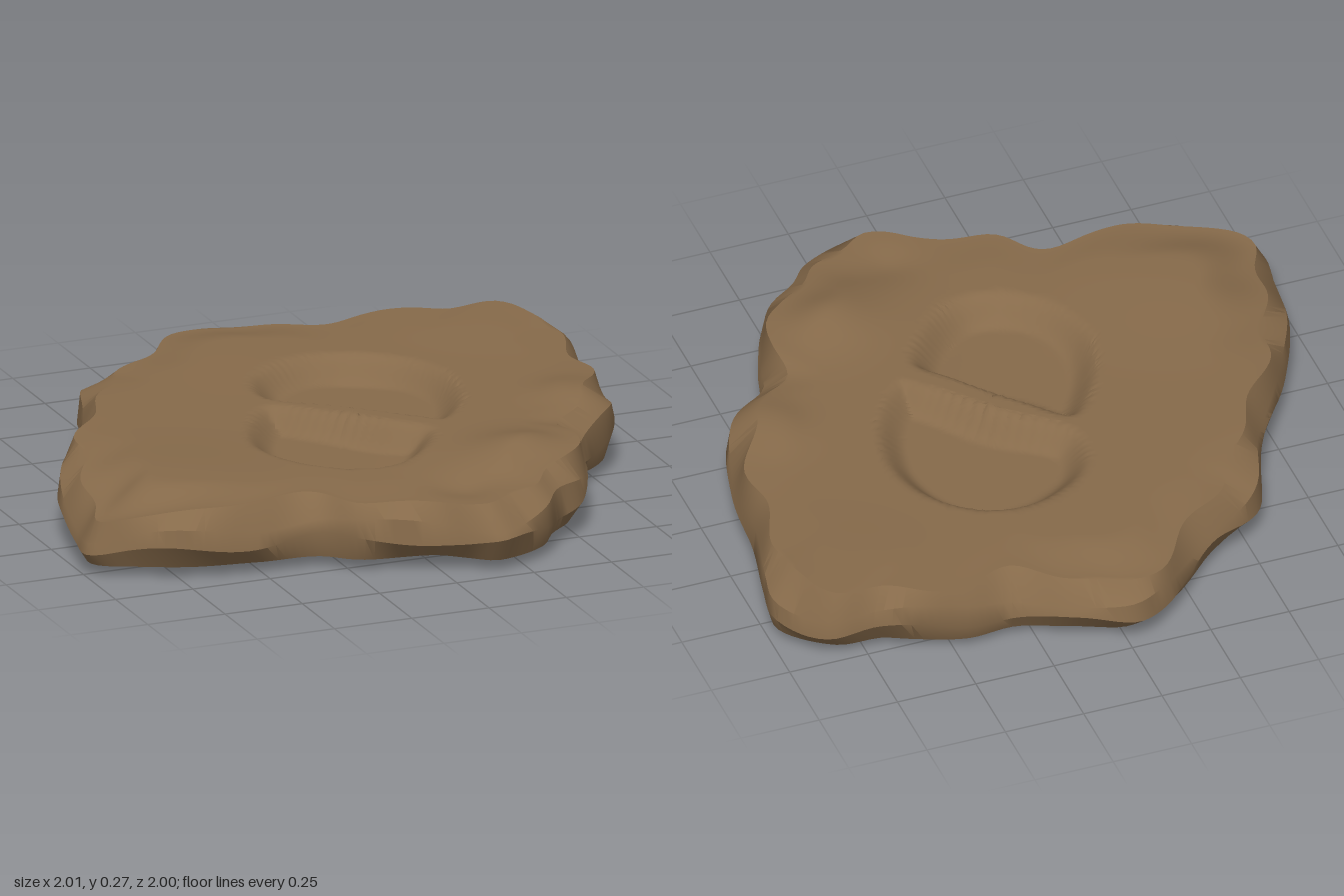
import * as THREE from 'three';
import { toCreasedNormals } from 'three/addons/utils/BufferGeometryUtils.js';

// Slab outline, clockwise from the back: x, z, height of the upper rim
const OUTLINE = [
  [-0.01, -1, 0.18], [0.15, -0.94, 0.19], [0.32, -0.85, 0.21], [0.47, -0.85, 0.21], [0.65, -0.81, 0.22],
  [0.74, -0.78, 0.22], [0.88, -0.76, 0.23], [1, -0.61, 0.22], [0.99, -0.5, 0.21], [0.93, -0.24, 0.21],
  [0.91, -0.02, 0.22], [0.84, 0.2, 0.24], [0.67, 0.38, 0.21], [0.63, 0.5, 0.23], [0.52, 0.73, 0.22],
  [0.41, 0.81, 0.21], [0.34, 0.9, 0.2], [0.22, 0.98, 0.2], [0.15, 1, 0.2], [0.07, 0.95, 0.2],
  [0, 0.9, 0.2], [-0.23, 0.82, 0.2], [-0.34, 0.73, 0.21], [-0.55, 0.73, 0.21], [-0.75, 0.7, 0.2],
  [-0.9, 0.61, 0.17], [-1, 0.53, 0.14], [-0.99, 0.42, 0.15], [-0.94, 0.16, 0.19], [-0.85, -0.04, 0.21],
  [-0.65, -0.37, 0.22], [-0.56, -0.6, 0.21], [-0.5, -0.66, 0.2], [-0.36, -0.74, 0.2], [-0.12, -0.95, 0.18],
];

// The two hollows, as closed curves in x and z
const HOLLOWS = [
  [[-0.13, -0.22], [-0.09, -0.4], [0.08, -0.51], [0.26, -0.5], [0.42, -0.37], [0.48, -0.18], [0.42, 0.06], [0.29, 0.2], [0.22, 0.14], [0.05, -0.04]],
  [[-0.14, -0.15], [-0.27, 0], [-0.33, 0.2], [-0.28, 0.38], [-0.15, 0.5], [0, 0.52], [0.14, 0.43], [0.24, 0.26], [0.15, 0.14], [0, -0.03]],
].map(points => new THREE.CatmullRomCurve3(points.map(([x, z]) => new THREE.Vector3(x, 0, z)), true).getPoints(70));

const smooth = THREE.MathUtils.smoothstep;
const lerp = THREE.MathUtils.lerp;
const bump = (x, z, cx, cz, size, height) => height * Math.exp(-((x - cx) ** 2 + (z - cz) ** 2) / size ** 2);

// Distance from a point to the edge of a hollow, zero outside it
function depthInside(loop, x, z) {
  let inside = false, nearest = Infinity;
  for (let i = 0, j = loop.length - 1; i < loop.length; j = i++) {
    const a = loop[i], b = loop[j];
    if ((a.z > z) !== (b.z > z) && x < (b.x - a.x) * (z - a.z) / (b.z - a.z) + a.x) inside = !inside;
    nearest = Math.min(nearest, Math.hypot(x - a.x, z - a.z));
  }
  return inside ? nearest : 0;
}

// Height of the weathered upper face, with the hollows pressed in
function topHeight(x, z) {
  let y = 0.222 + 0.005 * Math.sin(5 * x + 2 * z) * Math.cos(4 * z - x);
  y += bump(x, z, 0.4, 0.57, 0.16, 0.05) + bump(x, z, 0.77, 0.12, 0.12, 0.045);
  y += bump(x, z, -0.7, 0.35, 0.3, 0.018) + bump(x, z, 0.7, -0.6, 0.25, 0.015);
  y -= bump(x, z, 0.13, 0.78, 0.12, 0.025);
  for (const loop of HOLLOWS) {
    const d = depthInside(loop, x, z);
    if (d > 0) y -= smooth(d, 0, 0.1) * (0.075 + 0.006 * Math.sin(14 * x + 5 * z));
  }
  return y;
}

const bottomHeight = (x, z) => 0.035 * smooth(Math.hypot(x, z + 0.05), 0, 0.8);

function slabGeometry() {
  const SEGMENTS = 220, RINGS = 66, BOTTOM_RINGS = 10, cx = 0.08, cz = 0;
  const curve = new THREE.CatmullRomCurve3(OUTLINE.map(([x, z, y]) => new THREE.Vector3(x, y, z)), true);
  const edge = curve.getSpacedPoints(SEGMENTS).slice(0, SEGMENTS);
  const rows = [];
  const addRow = place => rows.push(edge.map((p, i) => {
    const angle = i / SEGMENTS * Math.PI * 2;
    const bevel = 0.065 + 0.022 * Math.sin(7 * angle) + 0.018 * Math.sin(17 * angle + 1);
    const radius = Math.hypot(p.x - cx, p.z - cz);
    const at = (scale, inset) => {
      const k = scale * (1 - inset / radius);
      return [cx + (p.x - cx) * k, cz + (p.z - cz) * k];
    };
    return place(p, at, bevel, angle);
  }));

  // Upper face, from the middle to the rim
  for (let r = 0; r <= RINGS; r++) addRow((p, at, bevel) => {
    const t = r / RINGS, [x, z] = at(t, bevel);
    return [x, lerp(topHeight(x, z), p.y + 0.008, 0.75 * smooth(t, 0.78, 1)), z];
  });
  // Chipped side: upper bevel, widest part, lower edge
  addRow((p, at, bevel, a) => {
    const [x, z] = at(1, 0.01);
    return [x, lerp(0.04, p.y, 0.7 + 0.12 * Math.sin(9 * a + 2)), z];
  });
  addRow((p, at, bevel, a) => {
    const [x, z] = at(1, 0);
    return [x, lerp(0.04, p.y, 0.38 + 0.1 * Math.sin(11 * a)), z];
  });
  addRow((p, at, bevel, a) => {
    const [x, z] = at(1, 0.045 + 0.02 * Math.sin(8 * a + 1));
    return [x, bottomHeight(x, z), z];
  });
  // Underside, sagging slightly in the middle
  for (let r = BOTTOM_RINGS - 1; r >= 0; r--) addRow((p, at) => {
    const [x, z] = at(r / BOTTOM_RINGS, 0.045);
    return [x, bottomHeight(x, z), z];
  });

  const index = [];
  for (let r = 0; r < rows.length - 1; r++) {
    for (let i = 0; i < SEGMENTS; i++) {
      const j = (i + 1) % SEGMENTS;
      const a = r * SEGMENTS + i, b = a + SEGMENTS, c = r * SEGMENTS + j, d = c + SEGMENTS;
      if (r > 0) index.push(a, c, b);
      if (r < rows.length - 2) index.push(c, d, b);
      else index.push(a, c, b);
    }
  }
  const geometry = new THREE.BufferGeometry();
  geometry.setAttribute('position', new THREE.Float32BufferAttribute(rows.flat(2), 3));
  geometry.setIndex(index);
  return toCreasedNormals(geometry, 0.65);
}

export function createModel() {
  const stone = new THREE.MeshStandardMaterial({ color: 0x866a4a });
  stone.name = 'brown stone';
  const slab = new THREE.Mesh(slabGeometry(), stone);
  slab.name = 'hollowedSlab';
  const group = new THREE.Group();
  group.name = 'stoneSlab';
  group.add(slab);
  return group;
}
